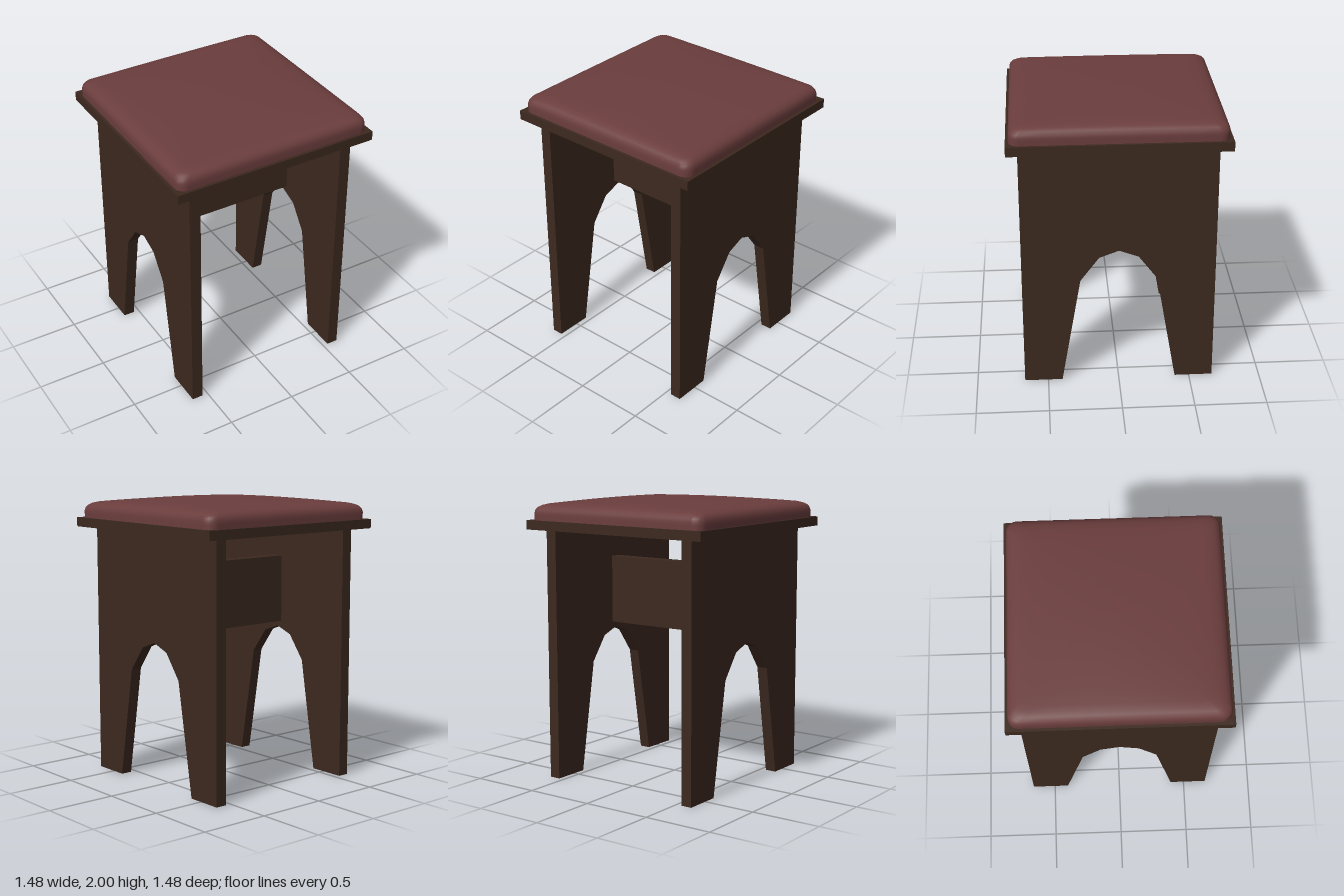
import * as THREE from 'three';

const wood = new THREE.MeshStandardMaterial({ color: 0x3c291f });
const leather = new THREE.MeshStandardMaterial({ color: 0x6b3d3d });

function box(name, w, h, d, y) {
  const mesh = new THREE.Mesh(new THREE.BoxGeometry(w, h, d), wood);
  mesh.name = name;
  mesh.position.y = y;
  return mesh;
}

// Side panel with a faceted arch cut out between its two feet
function sidePanelGeometry() {
  const half = [[0.4, 0], [0.265, 0.795], [0.135, 0.97]];
  const outline = [
    [0.665, 0], [0.665, 1.785], [-0.665, 1.785], [-0.665, 0],
    ...half.map(([x, y]) => [-x, y]), [0, 1.02], ...half.reverse(),
  ];
  const shape = new THREE.Shape(outline.map(([x, y]) => new THREE.Vector2(x, y)));
  const geo = new THREE.ExtrudeGeometry(shape, { depth: 0.08, bevelEnabled: false });
  return geo.translate(0, 0, -0.04).rotateY(Math.PI / 2);
}

// Rounded square loop: four corner arcs joined by subdivided straight edges
function roundedSquare(half, radius) {
  const points = [];
  const arc = 5, straight = 10, inner = half - radius;
  for (let side = 0; side < 4; side++) {
    const turn = side * Math.PI / 2;
    const c = Math.round(Math.cos(turn)), s = Math.round(Math.sin(turn));
    const add = (x, z) => points.push([x * c - z * s, x * s + z * c]);
    for (let i = 0; i < straight; i++) add(half, inner * (2 * i / straight - 1));
    for (let i = 0; i < arc; i++) {
      const a = i / arc * Math.PI / 2;
      add(inner + radius * Math.cos(a), inner + radius * Math.sin(a));
    }
  }
  return points;
}

// Cushion: stacked loops over a rounded edge, raised by a shallow dome
function cushionGeometry() {
  const R = 0.72;
  const profile = [
    [0.72, 1.85], [0.72, 1.88], [0.72, 1.9], [0.715, 1.922], [0.702, 1.94], [0.68, 1.953],
    [0.65, 1.961], [0.61, 1.964], [0.54, 1.965], [0.44, 1.965], [0.32, 1.965],
    [0.2, 1.965], [0.1, 1.965], [0.001, 1.965],
  ];
  const positions = [], index = [];
  let n = 0;
  profile.forEach(([half, y], k) => {
    const loop = roundedSquare(half, 0.07 * half / R);
    n = loop.length;
    for (const [x, z] of loop) {
      const dome = k < 2 ? 0 : 0.035 * (1 - (x / R) ** 2) * (1 - (z / R) ** 2);
      positions.push(x, y + dome, z);
    }
    if (k === 0) return;
    for (let i = 0; i < n; i++) {
      const a = (k - 1) * n + i, b = (k - 1) * n + (i + 1) % n;
      index.push(a, a + n, b, b, a + n, b + n);
    }
  });
  const geo = new THREE.BufferGeometry();
  geo.setAttribute('position', new THREE.Float32BufferAttribute(positions, 3));
  geo.setIndex(index);
  geo.computeVertexNormals();
  return geo;
}

export function createModel() {
  const stool = new THREE.Group();
  stool.name = 'stool';

  // Seat board and stretcher between the panels
  stool.add(box('seatBoard', 1.48, 0.065, 1.48, 1.8175));
  stool.add(box('stretcher', 1.08, 0.49, 0.08, 1.305));

  // Pair of arched side panels
  const panel = sidePanelGeometry();
  for (const [name, x] of [['leftPanel', 0.58], ['rightPanel', -0.58]]) {
    const mesh = new THREE.Mesh(panel, wood);
    mesh.name = name;
    mesh.position.x = x;
    stool.add(mesh);
  }

  // Padded top
  const cushion = new THREE.Mesh(cushionGeometry(), leather);
  cushion.name = 'cushion';
  stool.add(cushion);
  return stool;
}
